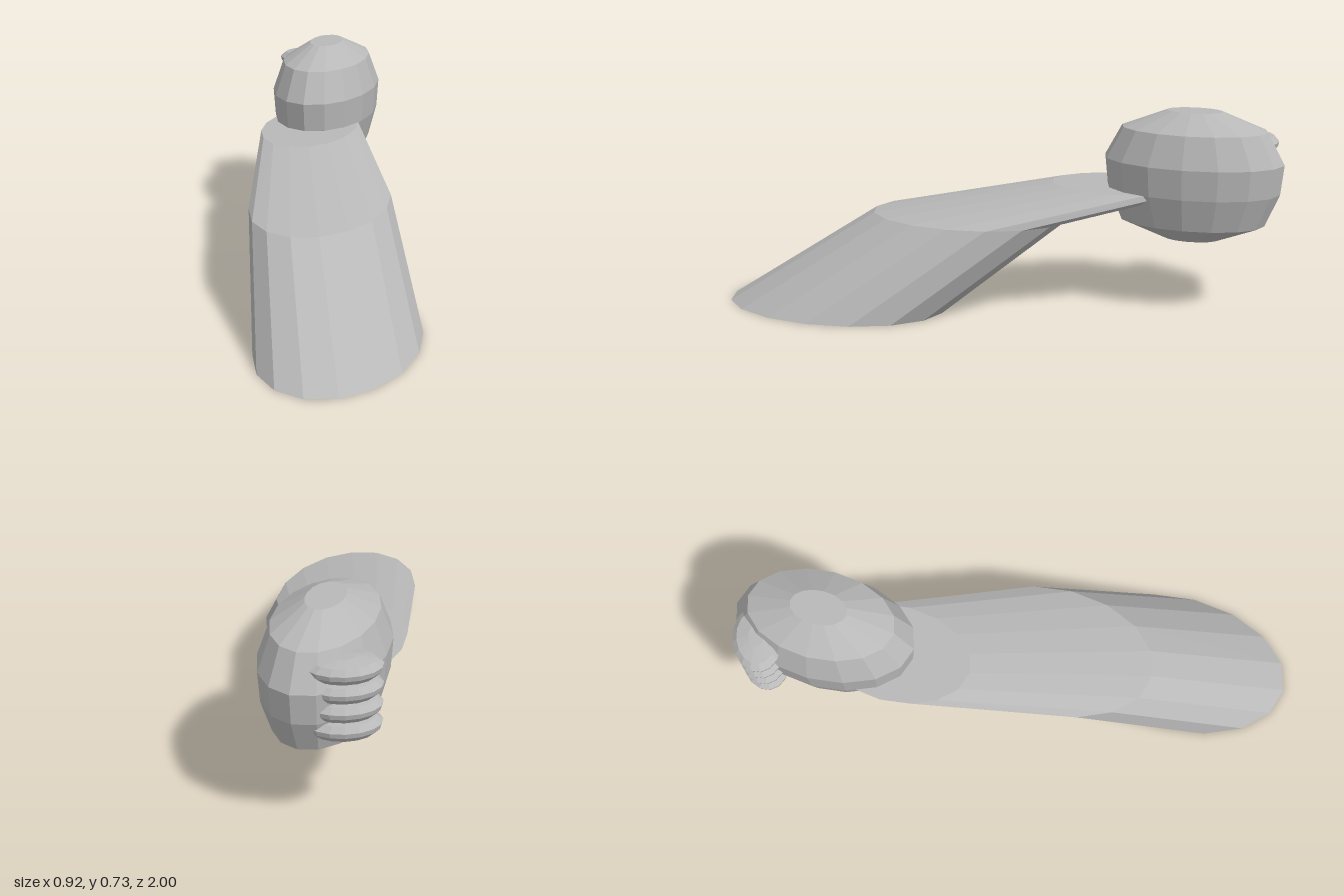
import * as THREE from 'three';

const SIDES = 16;

// Lofts horizontal elliptical rings [cx, y, cz, rx, rz], bottom to top, with flat caps.
function loft(rings) {
  const pos = [], idx = [];
  for (const [cx, y, cz, rx, rz] of rings) {
    for (let i = 0; i < SIDES; i++) {
      const a = (i / SIDES) * Math.PI * 2;
      pos.push(cx + rx * Math.sin(a), y, cz + rz * Math.cos(a));
    }
  }
  for (let r = 0; r < rings.length - 1; r++) {
    for (let i = 0; i < SIDES; i++) {
      const j = (i + 1) % SIDES;
      const a = r * SIDES + i, b = r * SIDES + j;
      idx.push(a, b, b + SIDES, a, b + SIDES, a + SIDES);
    }
  }
  const top = (rings.length - 1) * SIDES;
  for (let i = 1; i < SIDES - 1; i++) {
    idx.push(0, i + 1, i);
    idx.push(top, top + i, top + i + 1);
  }
  const g = new THREE.BufferGeometry();
  g.setAttribute('position', new THREE.Float32BufferAttribute(pos, 3));
  g.setIndex(idx);
  const flat = g.toNonIndexed();
  flat.computeVertexNormals();
  return flat;
}

// Rounded blob profile: [height, radius], both relative to the half size.
const BLOB = [[-1, 0.31], [-0.726, 0.81], [-0.22, 0.965], [0.24, 1], [0.726, 0.81], [1, 0.31]];
const blob = (rx, h, rz) => loft(BLOB.map(([y, r]) => [0, y * h, 0, rx * r, rz * r]));

export function createModel() {
  const model = new THREE.Group();
  const grey = new THREE.MeshStandardMaterial({ color: 0xb8b8b8 });
  grey.name = 'plain grey';
  grey.flatShading = true;

  const add = (name, geometry, x = 0, y = 0, z = 0) => {
    const mesh = new THREE.Mesh(geometry, grey);
    mesh.name = name;
    mesh.position.set(x, y, z);
    model.add(mesh);
    return mesh;
  };

  // Slanted forearm, from the cut base up to the wrist
  add('forearm', loft([
    [0.185, 0, 0.58, 0.275, 0.42],
    [-0.01, 0.33, 0.125, 0.245, 0.37],
    [-0.21, 0.44, -0.42, 0.182, 0.28],
  ]));

  // Clenched hand
  add('fist', blob(0.202, 0.2375, 0.33), -0.213, 0.4925, -0.67);

  // Four curled fingers stacked on the outer side
  const finger = blob(0.125, 0.037, 0.087);
  for (let i = 0; i < 4; i++) {
    add('finger' + (i + 1), finger, -0.34, 0.604 - i * 0.0665, -0.868).rotation.y = 0.41;
  }
  return model;
}
